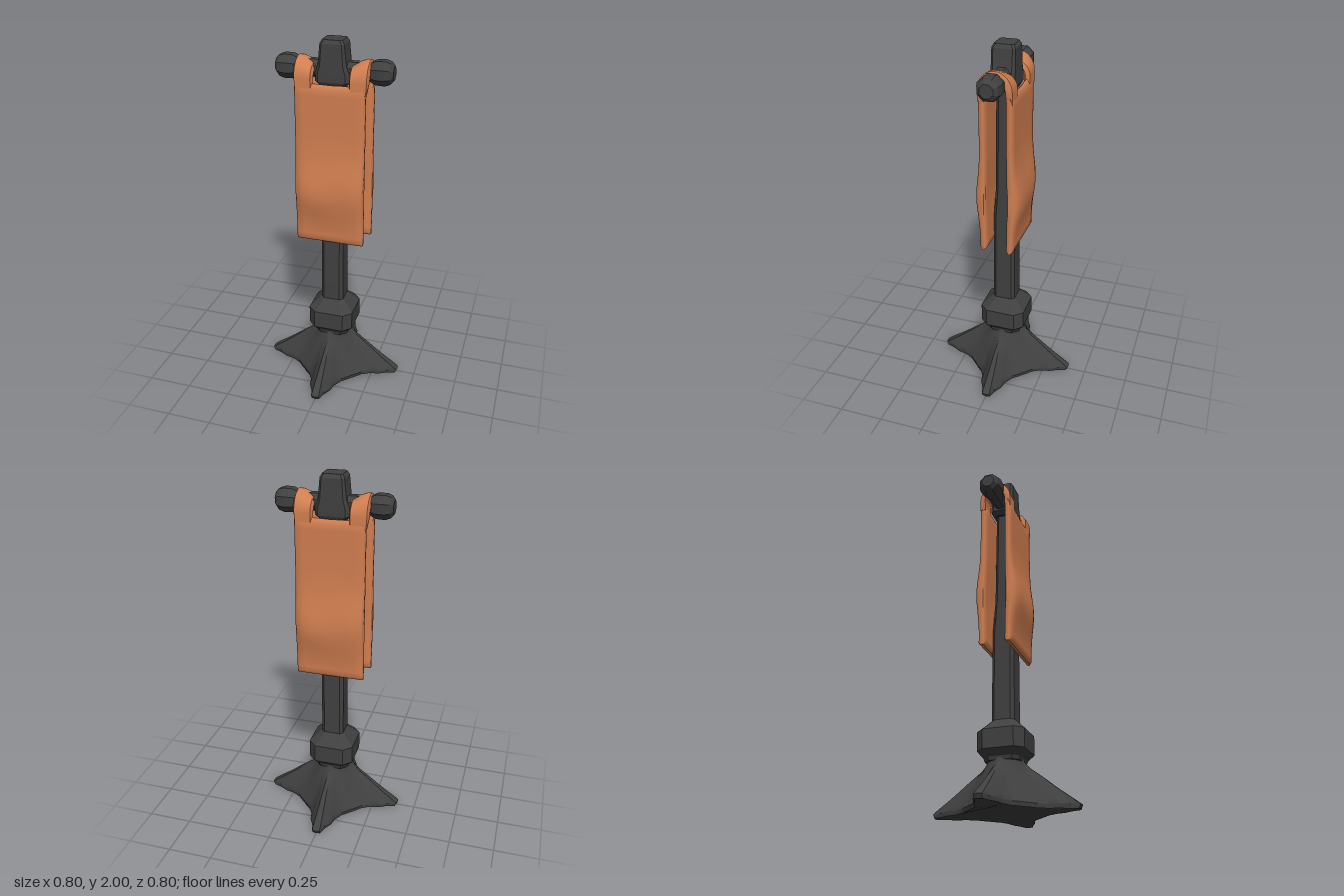
import * as THREE from 'three';
import { toCreasedNormals } from 'three/addons/utils/BufferGeometryUtils.js';

const iron = new THREE.MeshStandardMaterial({ color: 0x404040 });
iron.name = 'dark iron';
const cloth = new THREE.MeshStandardMaterial({ color: 0xd07e50 });
cloth.name = 'orange cloth';

// Skins a list of equal-length point rings, closes both ends, and turns the faces outward
function loft(rings, crease = 0.6) {
  const n = rings[0].length;
  const tris = [];
  const centre = (r) => r.reduce((s, p) => s.map((v, k) => v + p[k] / n), [0, 0, 0]);
  const first = rings[0], last = rings[rings.length - 1];
  const c0 = centre(first), c1 = centre(last);
  for (let i = 0; i < n; i++) {
    const j = (i + 1) % n;
    tris.push([c0, first[j], first[i]], [c1, last[i], last[j]]);
    for (let k = 0; k + 1 < rings.length; k++) {
      const a = rings[k], b = rings[k + 1];
      tris.push([a[i], a[j], b[j]], [a[i], b[j], b[i]]);
    }
  }
  let volume = 0;
  const [A, B, C] = [0, 1, 2].map(() => new THREE.Vector3());
  for (const t of tris) volume += A.fromArray(t[0]).dot(B.fromArray(t[1]).cross(C.fromArray(t[2])));
  if (volume < 0) tris.forEach((t) => t.reverse());
  const geometry = new THREE.BufferGeometry();
  geometry.setAttribute('position', new THREE.Float32BufferAttribute(tris.flat(2), 3));
  return toCreasedNormals(geometry, crease);
}

// Horizontal chamfered rectangle: half width, half depth, chamfer
function octRing(y, w, d, c) {
  const q = [[w, d - c], [w - c, d], [c - w, d], [-w, d - c], [-w, c - d], [c - w, -d], [w - c, -d], [w, c - d]];
  return q.map(([x, z]) => [x, y, z]);
}

// Four-footed base with concave sides between the feet
function baseGeometry() {
  const half = [[0.4, 0], [0.395, 0.022], [0.35, 0.035], [0.3, 0.062], [0.25, 0.072], [0.2, 0.1], [0.165, 0.137]];
  const quarter = [...half, [0.15, 0.15], ...half.slice(1).reverse().map(([x, z]) => [z, x])];
  const outline = [];
  for (let k = 0; k < 4; k++) {
    const c = Math.round(Math.cos(k * Math.PI / 2)), s = Math.round(Math.sin(k * Math.PI / 2));
    quarter.forEach(([x, z]) => outline.push([c * x - s * z, s * x + c * z]));
  }
  const ring = (t, y) => outline.map(([x, z]) => {
    const r = Math.hypot(x, z), u = 0.095 / r;
    const k = u + (1 - u) * t;
    return [x * k, y, z * k];
  });
  const top = [[0, 0.29], [0.02, 0.26], [0.13, 0.225], [0.36, 0.172], [0.55, 0.125], [0.72, 0.085], [0.88, 0.05], [1, 0.022]];
  return loft([
    ...top.map(([t, y]) => ring(t, y)),
    ring(0.97, 0),
    outline.map(([x, z]) => [x * 0.5, 0.025, z * 0.5]),
    outline.map(([x, z]) => [x * 0.15, 0.045, z * 0.15]),
  ]);
}

// Hanging panel with rounded rims and a soft swelling low down
function panelGeometry() {
  const swell = (y) => Math.exp(-(((y - 1.17) / (y > 1.17 ? 0.17 : 0.15)) ** 2));
  const us = [-1, -0.95, -0.75, -0.5, -0.25, 0, 0.25, 0.5, 0.75, 0.95, 1];
  const ring = (y, thick) => {
    const point = (u, side) => {
      const edge = Math.abs(u) === 1 ? 0.5 : 1;
      const bulge = swell(y) * (1 - 0.6 * Math.abs(u) ** 5);
      const fold = 0.003 * Math.sin(u * 3 + y * 14) * swell(y);
      const z = side > 0 ? 0.075 + 0.017 * thick * edge + 0.037 * bulge + fold
        : 0.075 - 0.017 * thick * edge + 0.008 * bulge;
      return [-0.004 + u * 0.19, y - (y > 1.74 ? 0.012 * (1 - u * u) : 0), z];
    };
    return [...us.map((u) => point(u, 1)), ...us.slice().reverse().map((u) => point(u, -1))];
  };
  const rings = [ring(0.876, 0.5), ring(0.89, 1.1)];
  for (let i = 0; i <= 20; i++) rings.push(ring(0.92 + i * 0.042, 1));
  rings.push(ring(1.78, 0.5));
  return loft(rings, 0.9);
}

// Cloth loop over one arm, higher at its outer end
function loopGeometry() {
  const section = [[0.095, 0, 0.3], [0.105, 0, 1], [0.14, 0.012, 1], [0.17, 0.024, 1], [0.192, 0.024, 1], [0.203, 0.018, 0.4],
    [0.2, 0, 0], [0.15, 0, 0], [0.1, 0, 0]];
  const rings = [];
  for (let i = -1; i <= 17; i++) {
    const a = THREE.MathUtils.clamp(i / 16, 0, 1) * Math.PI;
    const drop = i < 0 || i > 16 ? 0.06 : 0;
    rings.push(section.map(([x, lift, out]) => [
      drop ? Math.min(x, 0.188) : x,
      1.8 + Math.sin(a) * (0.05 + 0.03 * out + lift) - drop,
      Math.cos(a) * (0.06 + 0.032 * out),
    ]));
  }
  return loft(rings, 0.9);
}

export function createModel() {
  const model = new THREE.Group();
  model.name = 'bannerStand';
  const add = (name, geometry, material) => {
    const mesh = new THREE.Mesh(geometry, material);
    mesh.name = name;
    model.add(mesh);
    return mesh;
  };

  add('base', baseGeometry(), iron);

  add('collar', loft([
    octRing(0.26, 0.095, 0.095, 0.035), octRing(0.28, 0.1, 0.1, 0.035), octRing(0.315, 0.13, 0.13, 0.045),
    octRing(0.42, 0.13, 0.13, 0.045), octRing(0.455, 0.095, 0.095, 0.035), octRing(0.485, 0.064, 0.064, 0.02),
  ], 0.4), iron);

  add('post', loft([
    octRing(0.4, 0.064, 0.064, 0.018), octRing(1.0, 0.063, 0.062, 0.018),
    octRing(1.2, 0.06, 0.048, 0.018), octRing(1.8, 0.06, 0.042, 0.018),
  ], 0.4), iron);

  add('postHead', loft([
    octRing(1.762, 0.07, 0.055, 0.02), octRing(1.785, 0.093, 0.066, 0.02), octRing(1.825, 0.093, 0.066, 0.02),
    octRing(1.87, 0.076, 0.065, 0.015), octRing(1.98, 0.065, 0.063, 0.012), octRing(2.0, 0.054, 0.052, 0.012),
  ], 0.4), iron);

  // Crossbar, thinner inside the cloth and knobbed at both ends
  const knob = [[-0.314, 0.038], [-0.298, 0.058], [-0.27, 0.068], [-0.22, 0.066], [-0.19, 0.05]];
  const profile = [...knob, ...knob.slice().reverse().map(([x, r]) => [-x, r])];
  add('crossbar', loft(profile.map(([x, r]) => Array.from({ length: 8 }, (_, i) => {
    const a = (i + 0.5) * Math.PI / 4;
    return [x, 1.842 + Math.sin(a) * r, Math.cos(a) * r];
  })), 0.5), iron);

  // Cloth hanging on both faces and looped over each arm
  const panel = panelGeometry();
  add('frontPanel', panel, cloth);
  add('backPanel', panel, cloth).rotation.y = Math.PI;
  const loop = loopGeometry();
  add('leftLoop', loop, cloth);
  add('rightLoop', loop, cloth).rotation.y = Math.PI;

  return model;
}
